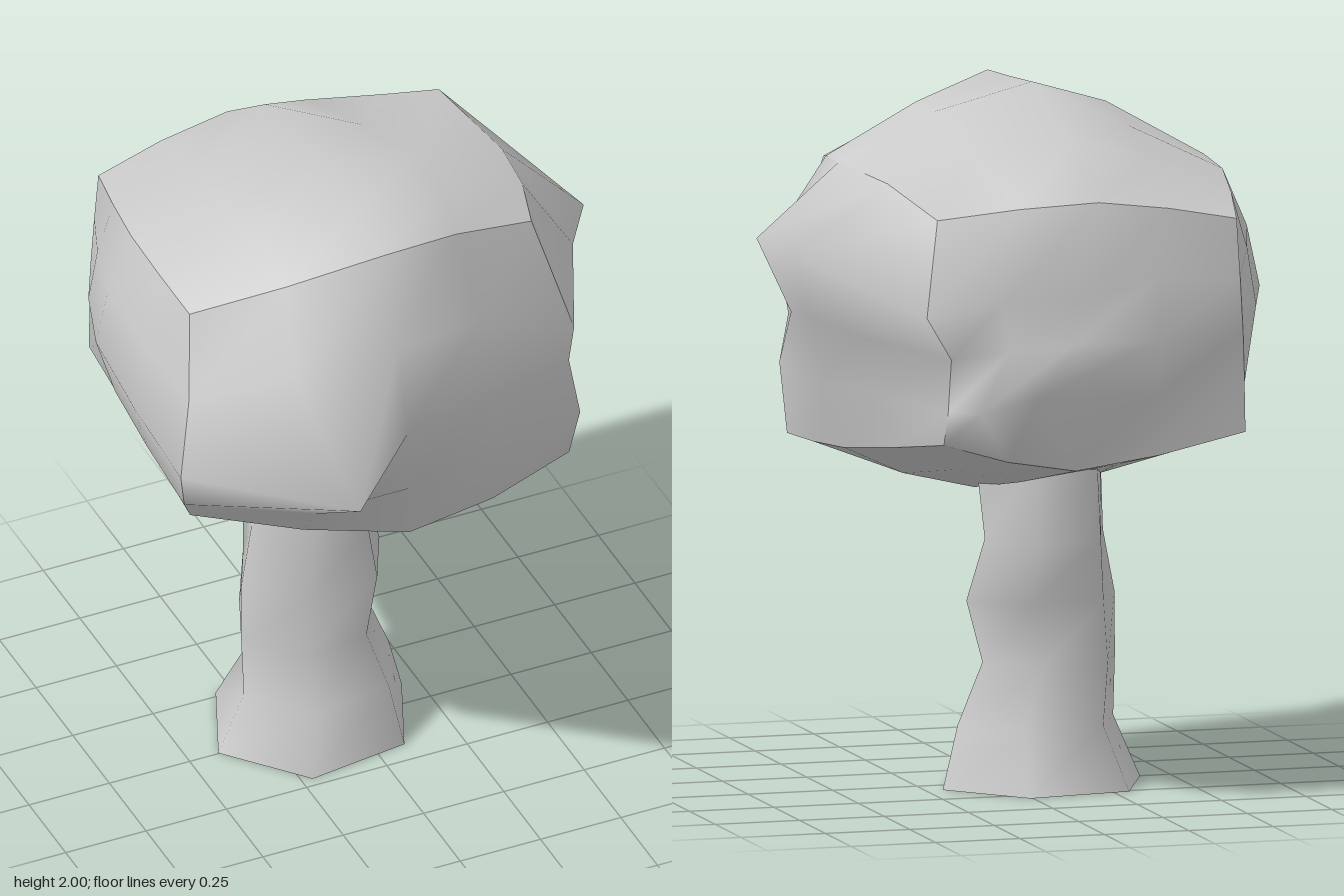
import * as THREE from 'three';

const material = new THREE.MeshStandardMaterial({ color: 0xcccccc });
const openMaterial = new THREE.MeshStandardMaterial({ color: 0xcccccc, side: THREE.DoubleSide });

// Crown control lattice: [height layer][back, middle, front][left to right]
const LATTICE = [
  [ // bottom
    [[-0.54, 1.07, -0.6], [-0.02, 0.99, -0.66], [0.35, 1.07, -0.59]],
    [[-0.54, 1.0, -0.22], [0.08, 0.85, 0.0], [0.5, 1.0, -0.12]],
    [[-0.59, 1.03, 0.2], [0.02, 0.89, 0.36], [0.54, 0.98, 0.31]],
  ],
  [ // middle
    [[-0.53, 1.36, -0.61], [0, 1.36, -0.71], [0.34, 1.32, -0.63]],
    [[-0.71, 1.42, -0.18], [0, 1.4, 0], [0.6, 1.38, -0.1]],
    [[-0.71, 1.33, 0.4], [-0.1, 1.44, 0.61], [0.53, 1.32, 0.33]],
  ],
  [ // top
    [[-0.52, 1.68, -0.58], [-0.1, 1.75, -0.62], [0.36, 1.71, -0.56]],
    [[-0.6, 1.76, -0.18], [-0.1, 2.0, 0.03], [0.5, 1.81, -0.06]],
    [[-0.61, 1.77, 0.24], [-0.1, 1.97, 0.46], [0.45, 1.78, 0.25]],
  ],
];

// Knobs and dents: grid point on the unit cube and how far it is pushed
const KNOBS = [
  { at: [-0.5, 0, 1], push: [0.1, -0.08, 0.206] }, // front
  { at: [-0.5, -0.5, 1], push: [0, 0.02, 0.1] },
  { at: [-0.5, 1, 1], push: [0, -0.03, -0.025] },
  { at: [0.5, 1, 1], push: [0, -0.015, -0.035] },
  { at: [-1, 0.5, 1], push: [0.02, 0, -0.01] },
  { at: [1, 0.5, 0], push: [0.16, 0, 0.09] }, // right
  { at: [1, 0.5, -0.5], push: [0.21, 0.02, 0.12] },
  { at: [1, 0.5, 0.5], push: [0.08, 0, 0.03] },
  { at: [1, 0, -0.5], push: [0.05, 0, 0] },
  { at: [1, 0.5, -1], push: [0.08, -0.055, -0.08] }, // back right edge
  { at: [1, -0.5, -1], push: [0.01, -0.015, -0.025] },
  { at: [1, 0.5, 1], push: [0.04, -0.09, 0.06] }, // front right edge
  { at: [1, -0.5, 1], push: [0, 0.03, 0.06] },
  { at: [0, 1, -0.5], push: [0.03, 0, -0.15] }, // top
  { at: [1, 1, -0.5], push: [0.02, 0.03, -0.11] },
  { at: [-0.5, 1, 0], push: [0, -0.03, 0] },
  { at: [0, 1, 0.5], push: [0, -0.02, 0] },
  { at: [0, -0.5, -1], push: [0.12, 0.04, -0.045] }, // back
  { at: [0.5, -0.5, -1], push: [0.1, 0, -0.06] },
  { at: [0, 0.5, -1], push: [0, -0.07, -0.02] },
  { at: [0.5, 0.5, -1], push: [0.05, -0.05, -0.05] },
  { at: [-0.5, 0, -1], push: [0, 0, -0.035] },
  { at: [-0.5, -1, 0], push: [-0.04, -0.02, 0] }, // underside
].map((k) => ({ at: new THREE.Vector3(...k.at), push: new THREE.Vector3(...k.push) }));

// Weights of the three lattice steps at t in -1..1, half straight and half curved
function weights(t) {
  const curved = [t * (t - 1) / 2, 1 - t * t, t * (t + 1) / 2];
  const straight = [Math.max(-t, 0), 1 - Math.abs(t), Math.max(t, 0)];
  return curved.map((c, i) => (c + straight[i]) / 2);
}

function crownPoint(cube) {
  const wx = weights(cube.x), wy = weights(cube.y), wz = weights(cube.z);
  const p = new THREE.Vector3();
  for (let j = 0; j < 3; j++)
    for (let k = 0; k < 3; k++)
      for (let i = 0; i < 3; i++)
        p.addScaledVector(new THREE.Vector3(...LATTICE[j][k][i]), wx[i] * wy[j] * wz[k]);
  for (const knob of KNOBS)
    if (cube.distanceTo(knob.at) < 0.01) p.add(knob.push);
  return p;
}

// One smooth side of the crown; u and v span it and u x v points outward
function crownSide(name, u, v) {
  const U = new THREE.Vector3(...u), V = new THREE.Vector3(...v);
  const N = U.clone().cross(V);
  const geometry = new THREE.PlaneGeometry(2, 2, 4, 4);
  const pos = geometry.attributes.position;
  for (let i = 0; i < pos.count; i++) {
    const cube = N.clone().addScaledVector(U, pos.getX(i)).addScaledVector(V, pos.getY(i));
    const p = crownPoint(cube);
    pos.setXYZ(i, p.x, p.y, p.z);
  }
  geometry.computeVertexNormals();
  const mesh = new THREE.Mesh(geometry, material);
  mesh.name = name;
  return mesh;
}

// Trunk rings: y, min x, max x, min z, max z
const RINGS = [
  [0, -0.41, 0.2, -0.31, 0.22],
  [0.18, -0.33, 0.15, -0.23, 0.16],
  [0.36, -0.33, 0.08, -0.23, 0.13],
  [0.54, -0.325, 0.13, -0.23, 0.11],
  [0.72, -0.285, 0.085, -0.29, 0.12],
  [0.96, -0.28, 0.11, -0.28, 0.13],
];
const TWIST = 0.15;

// Hexagonal trunk, turned slightly from the x axis and open underneath
function buildTrunk() {
  const geometry = new THREE.CylinderGeometry(
    1, 1, 1, 6, RINGS.length - 1, true, Math.PI / 2 + TWIST);
  const pos = geometry.attributes.position;
  const spanX = Math.cos(TWIST), spanZ = Math.sin(Math.PI / 3 + TWIST);
  for (let i = 0; i < pos.count; i++) {
    const [y, x0, x1, z0, z1] = RINGS[Math.round((pos.getY(i) + 0.5) * (RINGS.length - 1))];
    pos.setXYZ(i,
      (x0 + x1) / 2 + pos.getX(i) * (x1 - x0) / 2 / spanX, y,
      (z0 + z1) / 2 + pos.getZ(i) * (z1 - z0) / 2 / spanZ);
  }
  geometry.computeVertexNormals();
  // Match the normals where the wrap closes
  const nor = geometry.attributes.normal;
  for (let r = 0; r < RINGS.length; r++) {
    const a = r * 7, b = a + 6;
    const n = new THREE.Vector3().fromBufferAttribute(nor, a)
      .add(new THREE.Vector3().fromBufferAttribute(nor, b)).normalize();
    nor.setXYZ(a, n.x, n.y, n.z);
    nor.setXYZ(b, n.x, n.y, n.z);
  }
  const trunk = new THREE.Mesh(geometry, openMaterial);
  trunk.name = 'trunk';
  return trunk;
}

export function createModel() {
  const tree = new THREE.Group();
  tree.name = 'tree';
  const crown = new THREE.Group();
  crown.name = 'crown';
  crown.add(
    crownSide('crownFront', [1, 0, 0], [0, 1, 0]),
    crownSide('crownBack', [-1, 0, 0], [0, 1, 0]),
    crownSide('crownRight', [0, 0, -1], [0, 1, 0]),
    crownSide('crownLeft', [0, 0, 1], [0, 1, 0]),
    crownSide('crownTop', [1, 0, 0], [0, 0, -1]),
    crownSide('crownBottom', [1, 0, 0], [0, 0, 1]),
  );
  // The model's own left is +x
  crown.children[2].name = 'crownLeft';
  crown.children[3].name = 'crownRight';
  tree.add(crown, buildTrunk());
  return tree;
}
